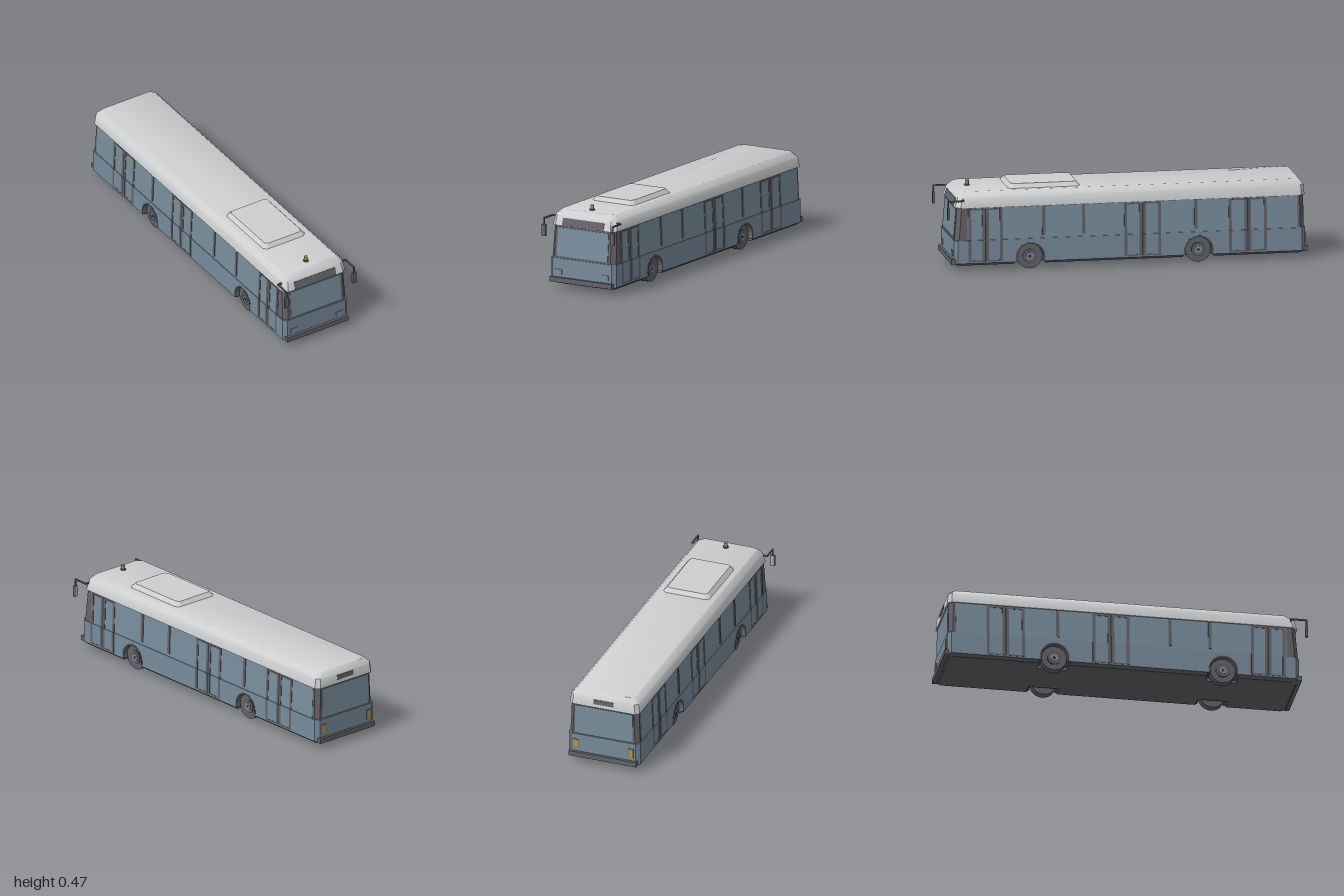
import * as THREE from 'three';
import { toCreasedNormals } from 'three/addons/utils/BufferGeometryUtils.js';

const mat = (name, color) => {
  const m = new THREE.MeshStandardMaterial({ color });
  m.name = name;
  return m;
};

export function createModel() {
  const root = new THREE.Group();
  root.name = 'bus';
  const paint = mat('slate paint', 0x778b9b);
  const glass = mat('window glass', 0x798e9d);
  const roofMat = mat('light grey roof', 0xcecfd0);
  const trim = mat('dark grey trim', 0x646268);
  const seal = mat('black seal', 0x3a3a3c);
  const mirrorMat = mat('mirror glass', 0xaeafb2);
  const amber = mat('amber lamp', 0xae925a);

  const add = (name, geo, m, x = 0, y = 0, z = 0, rx = 0, ry = 0, rz = 0) => {
    const mesh = new THREE.Mesh(geo, m);
    mesh.name = name;
    mesh.position.set(x, y, z);
    mesh.rotation.set(rx, ry, rz);
    root.add(mesh);
  };
  // box given by its limits
  const box = (name, m, x0, x1, y0, y1, z0, z1) =>
    add(name, new THREE.BoxGeometry(x1 - x0, y1 - y0, z1 - z0), m,
      (x0 + x1) / 2, (y0 + y1) / 2, (z0 + z1) / 2);

  // stacked rings [y, halfWidth, zFront, zBack, frontChamfer, backChamfer]
  const loft = (name, m, rings, crease = 0.1) => {
    const pts = rings.map(([y, w, f, b, cf, cb]) => [
      [w, y, f - cf], [w, y, b + cb], [w - cb, y, b], [-w + cb, y, b],
      [-w, y, b + cb], [-w, y, f - cf], [-w + cf, y, f], [w - cf, y, f]]);
    const pos = [];
    const tri = (...p) => p.forEach((v) => pos.push(...v));
    for (let r = 0; r + 1 < pts.length; r++) {
      for (let i = 0; i < 8; i++) {
        const j = (i + 1) % 8, lo = pts[r], hi = pts[r + 1];
        tri(lo[i], lo[j], hi[j]);
        tri(lo[i], hi[j], hi[i]);
      }
    }
    const top = pts[pts.length - 1], bot = pts[0];
    for (let i = 1; i < 7; i++) {
      tri(top[0], top[i], top[i + 1]);
      tri(bot[0], bot[i + 1], bot[i]);
    }
    const g = new THREE.BufferGeometry();
    g.setAttribute('position', new THREE.Float32BufferAttribute(pos, 3));
    add(name, toCreasedNormals(g, crease), m);
  };

  // lower body and skirt, in segments around the wheel bays
  const axles = [0.537, -0.394], bay = 0.085, F = 0.957, B = -0.985;
  const segments = [
    [F, axles[0] + bay, 0.02, 0, true], [axles[0] + bay, axles[0] - bay, 0, 0, false],
    [axles[0] - bay, axles[1] + bay, 0, 0, true], [axles[1] + bay, axles[1] - bay, 0, 0, false],
    [axles[1] - bay, B, 0, 0.02, true]];
  segments.forEach(([f, b, cf, cb, full]) => {
    const w = full ? 0.208 : 0.12, inset = full ? 0.018 : 0;
    loft(full ? 'lowerBody' : 'wheelWell', full ? paint : trim,
      [[0.045, w, f, b, cf, cb], [0.172, w, f, b, cf, cb]]);
    loft('skirt', trim, [
      [0.031, w - inset, f - (cf ? 0.015 : 0), b + (cb ? 0.015 : 0), cf, cb],
      [0.046, w, f, b, cf, cb]]);
  });

  // window band and roof
  loft('windowBand', trim, [
    [0.17, 0.203, 0.953, -0.978, 0.022, 0.022],
    [0.352, 0.196, 0.938, -0.974, 0.022, 0.022]]);
  loft('roof', roofMat, [
    [0.352, 0.203, 0.95, -0.982, 0.026, 0.02],
    [0.408, 0.196, 0.932, -0.978, 0.026, 0.02],
    [0.437, 0.167, 0.905, -0.955, 0.026, 0.02]], 0.7);
  loft('roofHatch', roofMat, [
    [0.435, 0.137, 0.647, 0.245, 0.02, 0.02],
    [0.46, 0.117, 0.628, 0.265, 0.015, 0.015]]);

  // front and rear panels
  const plate = (name, m, w, h, y, z, tilt) =>
    add(name, new THREE.BoxGeometry(w, h, 0.006), m, 0, y, z, tilt);
  plate('windscreen', glass, 0.324, 0.157, 0.262, 0.9455, -0.083);
  plate('rearWindow', glass, 0.335, 0.165, 0.262, -0.976, 0.022);
  plate('frontSign', trim, 0.264, 0.042, 0.375, 0.942, -0.3);
  plate('rearSign', trim, 0.115, 0.026, 0.386, -0.98, 0.07);
  box('frontBumper', trim, -0.197, 0.197, 0.04, 0.068, 0.94, 0.972);
  box('rearBumper', trim, -0.197, 0.197, 0.04, 0.068, -1, -0.97);

  // roof beacon
  add('beaconBase', new THREE.CylinderGeometry(0.015, 0.015, 0.009, 12), trim, 0, 0.4395, 0.85);
  add('beacon', new THREE.CylinderGeometry(0.0105, 0.0105, 0.023, 8), amber, 0, 0.4545, 0.85);

  // wheel bay profile with an arched cut, and the arch lining
  const archShape = new THREE.Shape();
  archShape.moveTo(-bay, 0.045);
  archShape.lineTo(-0.08, 0.045);
  archShape.lineTo(-0.08, 0.07);
  archShape.absarc(0, 0.07, 0.08, Math.PI, 0, true);
  archShape.lineTo(0.08, 0.045);
  archShape.lineTo(bay, 0.045);
  archShape.lineTo(bay, 0.172);
  archShape.lineTo(-bay, 0.172);
  const liningShape = new THREE.Shape();
  liningShape.absarc(0, 0.07, 0.082, -0.3, Math.PI + 0.3, false);
  liningShape.absarc(0, 0.07, 0.073, Math.PI + 0.3, -0.3, true);
  const extrude = (shape, depth) =>
    new THREE.ExtrudeGeometry(shape, { depth, bevelEnabled: false, curveSegments: 14 });

  for (const s of [1, -1]) {
    const sideBox = (name, m, x0, x1, ...r) =>
      box(name, m, Math.min(s * x0, s * x1), Math.max(s * x0, s * x1), ...r);
    // tilted plate lying on the window band
    const sidePlate = (name, m, z0, z1, y0, y1, out) => {
      const y = (y0 + y1) / 2;
      add(name, new THREE.BoxGeometry(0.006, y1 - y0, Math.abs(z1 - z0)), m,
        s * (0.203 - (y - 0.17) * 0.0385 + out), y, (z0 + z1) / 2, 0, 0, s * 0.0385);
    };
    // upright running over both the lower body and the window band
    const upright = (name, m, z, w) => {
      sideBox(name, m, 0.203, 0.2093, 0.052, 0.172, z - w / 2, z + w / 2);
      sidePlate(name, m, z - w / 2, z + w / 2, 0.172, 0.345, 0.001);
    };

    // side glazing and pillars
    sidePlate('sideWindows', glass, -0.94, 0.885, 0.172, 0.349, -0.0015);
    for (const z of [0.463, 0.243, -0.378])
      sidePlate('windowPillar', trim, z - 0.009, z + 0.009, 0.187, 0.349, 0.002);

    // double doors: frame, leaf edges and centre seal
    for (const [z0, z1] of [[0.69, 0.88], [-0.185, 0.018], [-0.77, -0.56]]) {
      const mid = (z0 + z1) / 2;
      for (const z of [z0 + 0.008, z1 - 0.008]) upright('doorFrame', trim, z, 0.016);
      for (const z of [mid - 0.011, mid + 0.011]) upright('doorLeafEdge', trim, z, 0.014);
      upright('doorSeal', seal, mid, 0.008);
      sideBox('doorRail', trim, 0.203, 0.2092, 0.052, 0.06, z0, z1);
      sidePlate('doorRail', trim, z0, z1, 0.337, 0.345, 0.0008);
    }

    // wheels and arches
    for (const z of axles) {
      add('wheelBay', extrude(archShape, 0.088), paint, s > 0 ? 0.12 : -0.208, 0, z, 0, Math.PI / 2);
      add('wheelArch', extrude(liningShape, 0.088), trim, s > 0 ? 0.121 : -0.209, 0, z, 0, Math.PI / 2);
      const disc = (name, m, r, x0, x1) =>
        add(name, new THREE.CylinderGeometry(r, r, x1 - x0, 24), m,
          s * (x0 + x1) / 2, 0.07, z, 0, 0, Math.PI / 2);
      disc('tyre', trim, 0.07, 0.137, 0.183);
      disc('rimGap', seal, 0.039, 0.18, 0.1845);
      disc('rim', trim, 0.036, 0.18, 0.187);
      disc('hub', paint, 0.021, 0.18, 0.191);
      disc('hubCap', seal, 0.008, 0.18, 0.193);
    }

    // lamps
    sideBox('headlight', glass, 0.126, 0.169, 0.083, 0.111, 0.953, 0.962);
    sideBox('tailLightFrame', trim, 0.144, 0.178, 0.085, 0.141, -0.9875, -0.98);
    sideBox('tailLight', amber, 0.147, 0.175, 0.088, 0.138, -0.9895, -0.98);

    // mirror on its arm
    sideBox('mirrorArm', trim, 0.19, 0.222, 0.391, 0.399, 0.905, 0.913);
    sideBox('mirrorArm', trim, 0.214, 0.222, 0.391, 0.399, 0.905, 0.997);
    sideBox('mirrorArm', trim, 0.214, 0.222, 0.355, 0.399, 0.99, 0.997);
    sideBox('mirrorHousing', trim, 0.207, 0.231, 0.295, 0.36, 0.989, 1);
    sideBox('mirrorGlass', mirrorMat, 0.209, 0.229, 0.298, 0.357, 0.987, 0.99);
  }
  return root;
}
